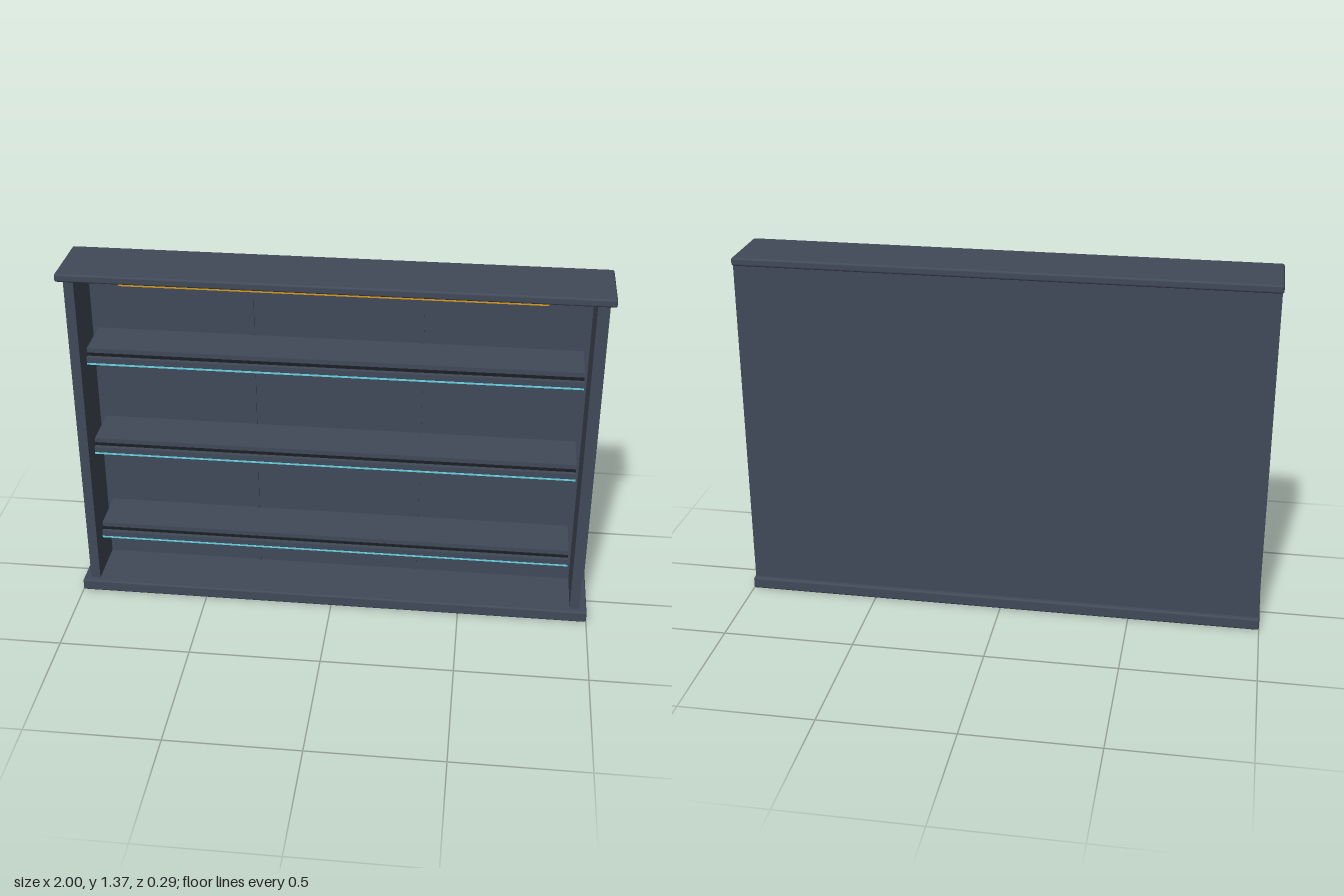
import * as THREE from 'three';
import { RoundedBoxGeometry } from 'three/addons/geometries/RoundedBoxGeometry.js';

export function createModel() {
  const mat = (name, color) => {
    const m = new THREE.MeshStandardMaterial({ color });
    m.name = name;
    return m;
  };
  const slate = mat('slate', 0x414a59);
  const black = mat('groove black', 0x1b1f25);
  const cyan = mat('cyan light', 0x67d8ea);
  const amber = mat('amber light', 0xd99a1e);

  const model = new THREE.Group();
  model.name = 'shelfUnit';

  // Box given by its extents [min, max] on each axis; r rounds the edges
  const box = (parent, name, material, x, y, z, r = 0) => {
    const size = [x, y, z].map(([a, b]) => b - a);
    const geometry = r ? new RoundedBoxGeometry(...size, 2, r) : new THREE.BoxGeometry(...size);
    const mesh = new THREE.Mesh(geometry, material);
    mesh.name = name;
    mesh.position.set((x[0] + x[1]) / 2, (y[0] + y[1]) / 2, (z[0] + z[1]) / 2);
    parent.add(mesh);
  };

  // Carcass
  box(model, 'base', slate, [-1, 1], [0, 0.046], [-0.145, 0.145], 0.007);
  box(model, 'topBoard', slate, [-1, 1], [1.339, 1.37], [-0.135, 0.135], 0.008);
  box(model, 'backPanel', slate, [-0.995, 0.995], [0.044, 1.341], [-0.127, -0.08]);
  for (const [side, s] of [['left', 1], ['right', -1]]) {
    const x = s > 0 ? [0.934, 0.971] : [-0.971, -0.934];
    box(model, side + 'SidePanel', slate, x, [0.044, 1.341], [-0.081, 0.122]);
    // Narrow batten on the back panel
    box(model, side + 'Batten', slate, [s * 0.318 - 0.006, s * 0.318 + 0.006], [0.044, 1.328], [-0.081, -0.074]);
  }

  // Light strip under the top board
  box(model, 'topLight', amber, [-0.765, 0.765], [1.334, 1.34], [0.123, 0.131]);

  // Shelves, each with a dark groove, a front rail and a light strip
  for (let i = 0; i < 3; i++) {
    const y = 0.297 + i * 0.383;
    const shelf = new THREE.Group();
    shelf.name = 'shelf' + (i + 1);
    const x = [-0.912, 0.912];
    box(shelf, 'board', slate, x, [y - 0.018, y], [-0.081, 0.098]);
    box(shelf, 'groove', black, x, [y - 0.034, y - 0.018], [0.08, 0.096]);
    box(shelf, 'frontRail', slate, x, [y - 0.055, y - 0.032], [0.092, 0.112]);
    box(shelf, 'lightStrip', cyan, x, [y - 0.061, y - 0.054], [0.104, 0.113]);
    model.add(shelf);
  }
  return model;
}
